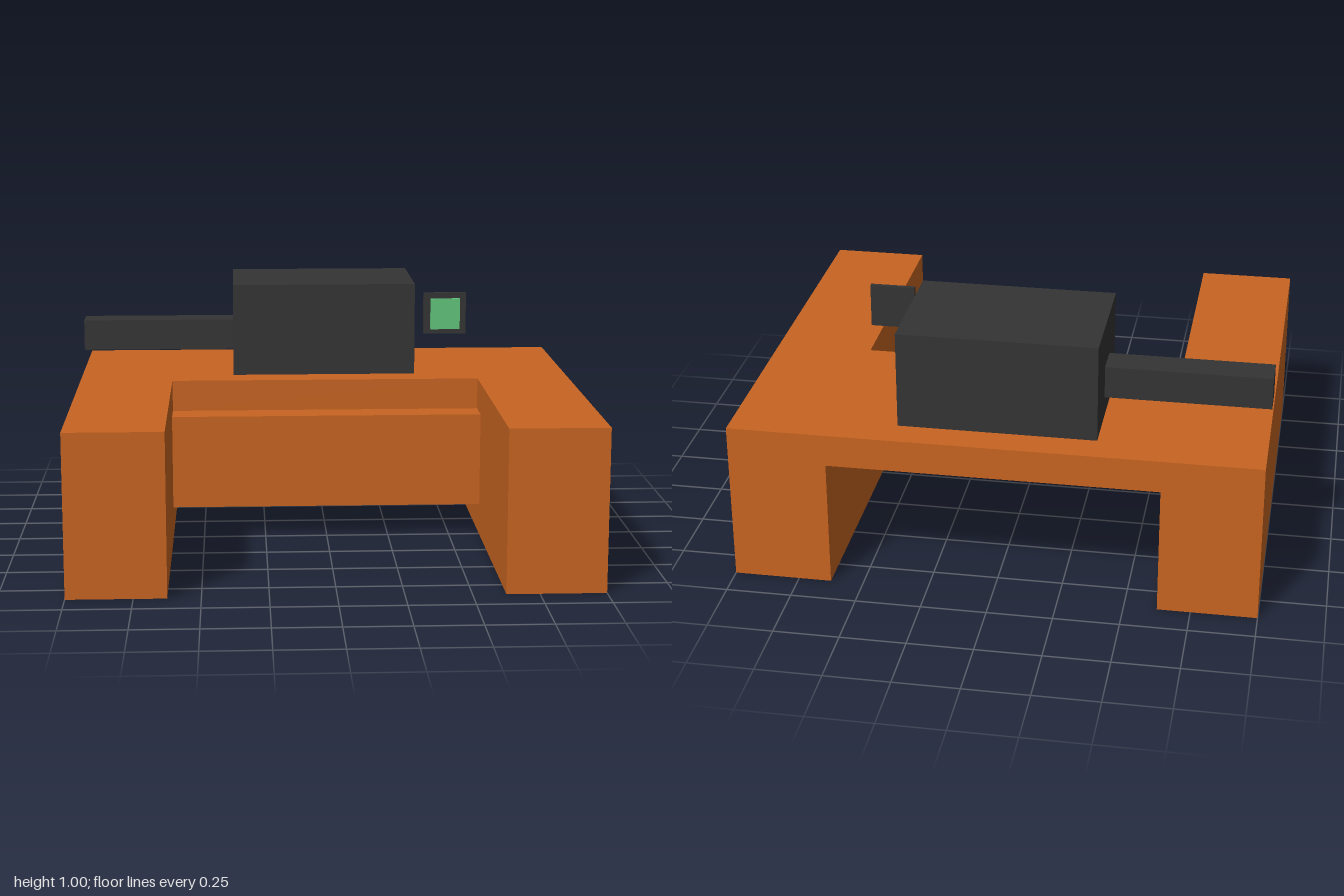
import * as THREE from 'three';

const material = (name, color) => {
  const m = new THREE.MeshStandardMaterial({ color });
  m.name = name;
  return m;
};

export function createModel() {
  const group = new THREE.Group();
  const orange = material('orange', 0xc86421);
  const charcoal = material('charcoal', 0x343434);
  const green = material('screen green', 0x62c47b);

  // Box given by its extents along each axis
  const box = (name, mat, [x0, x1], [y0, y1], [z0, z1]) => {
    const mesh = new THREE.Mesh(new THREE.BoxGeometry(x1 - x0, y1 - y0, z1 - z0), mat);
    mesh.position.set((x0 + x1) / 2, (y0 + y1) / 2, (z0 + z1) / 2);
    mesh.name = name;
    group.add(mesh);
  };

  // U-shaped desk: two solid sides, a top slab and a lowered front panel
  box('leftSide', orange, [0.625, 1], [0, 0.625], [-0.875, 0.875]);
  box('rightSide', orange, [-1, -0.625], [0, 0.625], [-0.875, 0.875]);
  box('topSlab', orange, [-0.625, 0.625], [0.5, 0.625], [-0.875, -0.125]);
  box('frontPanel', orange, [-0.625, 0.625], [0.125, 0.5], [-0.125, 0]);

  // Machine housing with its side arm
  box('housing', charcoal, [-0.375, 0.375], [0.625, 1], [-0.75, -0.25]);
  box('arm', charcoal, [-1, -0.375], [0.705, 0.83], [-0.55, -0.425]);

  // Small display beside the housing
  box('displayFrame', charcoal, [0.41, 0.585], [0.795, 0.965], [-0.25, -0.233]);
  box('displayScreen', green, [0.438, 0.558], [0.817, 0.942], [-0.233, -0.208]);

  // Cable port on the underside of the slab
  const port = new THREE.Mesh(new THREE.CylinderGeometry(0.025, 0.025, 0.006, 16), charcoal);
  port.position.set(-0.215, 0.499, -0.35);
  port.name = 'cablePort';
  group.add(port);

  return group;
}
